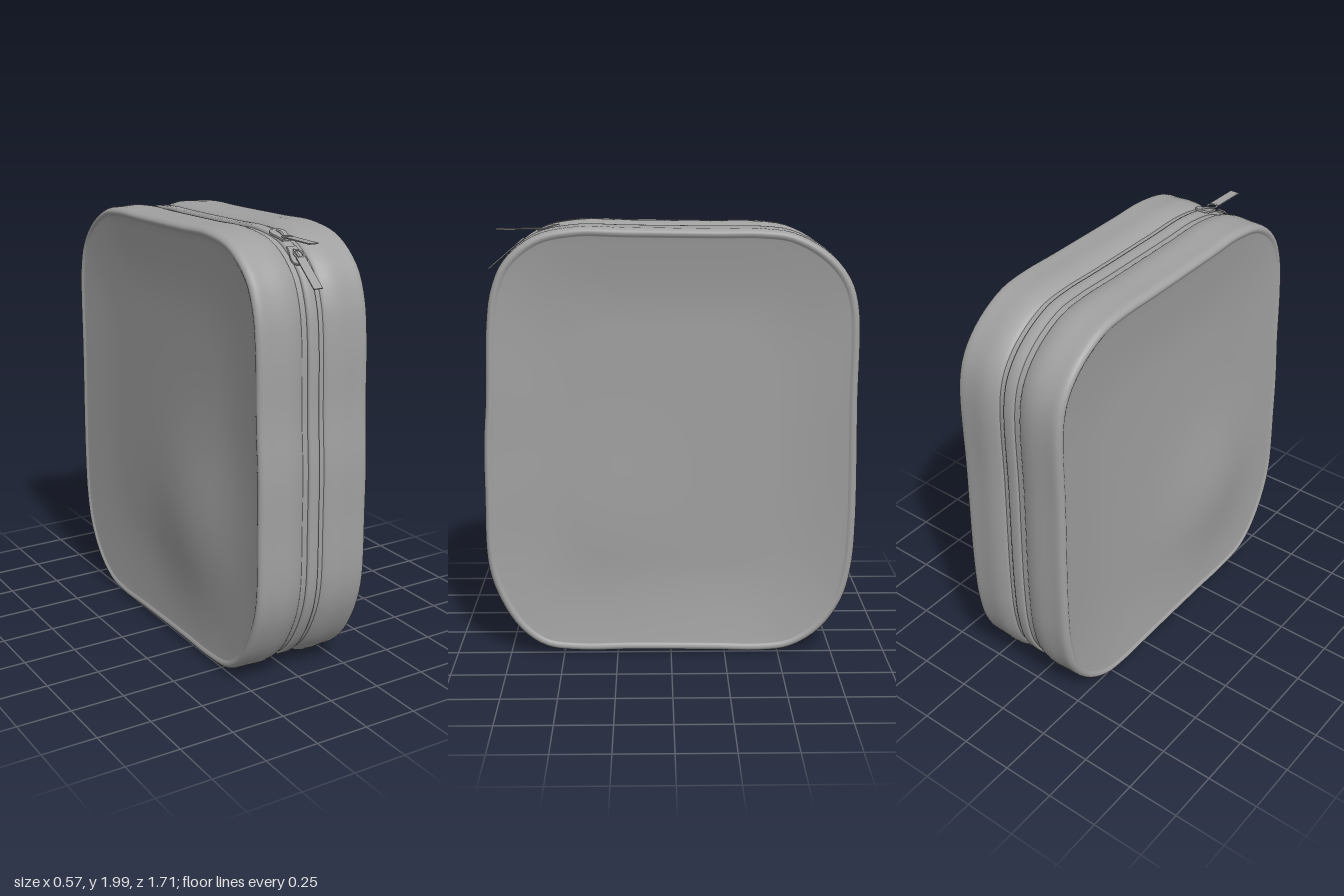
import * as THREE from 'three';

const material = new THREE.MeshStandardMaterial({ color: 0xa0a0a0, side: THREE.DoubleSide });
const N = 160;

// Soft, slightly uneven rounded outline of the case in (z, y)
const outline = new THREE.CatmullRomCurve3([
  [0.855, 0.8], [0.85, 0.45], [0.805, 0.29], [0.71, 0.13], [0.59, 0.04], [0.42, 0.016],
  [0.2, 0.018], [-0.2, 0.014], [-0.42, 0.01], [-0.56, 0.03], [-0.7, 0.12], [-0.8, 0.27],
  [-0.84, 0.43], [-0.853, 0.65], [-0.845, 1.2], [-0.835, 1.65], [-0.79, 1.78], [-0.69, 1.89],
  [-0.54, 1.97], [-0.4, 1.989], [-0.2, 1.99], [0.2, 1.995], [0.42, 1.998], [0.6, 1.96],
  [0.74, 1.85], [0.8, 1.72], [0.825, 1.55], [0.836, 1.25], [0.852, 1.02],
].map(([z, y]) => new THREE.Vector3(0, y, z)), true, 'centripetal');

const samples = Array.from({ length: N }, (_, i) => {
  const p = outline.getPointAt(i / N), t = outline.getTangentAt(i / N);
  return { y: p.y, z: p.z, ny: t.z, nz: -t.y };
});

// Outline pulled inwards by a distance and placed at x
const ring = (x, inset) => samples.map((s) => [x, s.y - s.ny * inset, s.z - s.nz * inset]);

// Skin over closed rings, ordered towards +x (or mirrored with flip)
function loft(name, rings, flip = false) {
  const index = [];
  for (let j = 0; j < rings.length - 1; j++) {
    for (let i = 0; i < N; i++) {
      const k = (i + 1) % N;
      const a = j * N + i, b = j * N + k, c = a + N, d = b + N;
      if (flip) index.push(a, c, b, b, c, d);
      else index.push(a, b, c, b, d, c);
    }
  }
  const geometry = new THREE.BufferGeometry();
  geometry.setAttribute('position', new THREE.Float32BufferAttribute(rings.flat(2), 3));
  geometry.setIndex(index);
  geometry.computeVertexNormals();
  const mesh = new THREE.Mesh(geometry, material);
  mesh.name = name;
  return mesh;
}

// Side wall from the zipper groove round the rim: (x, inset)
const wallProfile = new THREE.SplineCurve([
  [0.05, 0.03], [0.06, 0.019], [0.078, 0.011], [0.105, 0.004], [0.14, 0.001], [0.2, 0.004],
  [0.245, 0.005], [0.264, 0.011], [0.274, 0.022], [0.274, 0.034], [0.267, 0.046],
].map(([x, d]) => new THREE.Vector2(x, d))).getPoints(40);

// One half: wall, rolled rim and dished panel in a single smooth skin
function halfCase(side) {
  const rings = wallProfile.map((p) => ring(side * p.x, p.y));
  const edge = ring(0, 0.046);
  for (let j = 1; j <= 30; j++) {
    const s = Math.max(1 - j / 30, 0.001);
    const inward = 1 - s;
    const sag = (side > 0 ? 0.042 : 0.026) * Math.sin(Math.min(inward / 0.42, 1) * Math.PI / 2);
    rings.push(edge.map(([, y, z]) => {
      const py = 1 + (y - 1) * s, pz = z * s;
      // Soft swelling low at the front, stronger on the right side
      const swell = (side > 0 ? 0.014 : 0.052) * (1 - s ** 6)
        * Math.exp(-(((py - 0.62) / 0.4) ** 2) - ((pz - 0.3) / 0.36) ** 2);
      return [side * (0.267 - sag + swell), py, pz];
    }));
  }
  return loft(side > 0 ? 'leftShell' : 'rightShell', rings, side < 0);
}

function box(name, w, h, d, x, y, z) {
  const mesh = new THREE.Mesh(new THREE.BoxGeometry(w, h, d), material);
  mesh.name = name;
  mesh.position.set(x, y, z);
  return mesh;
}

// Zipper slider: local z runs along the zipper, local y points outwards
function slider(name, y, z, tilt, facing) {
  const group = new THREE.Group();
  group.name = name;
  group.position.set(0, y, z);
  group.rotation.x = tilt;

  const plan = new THREE.Shape();
  plan.moveTo(-0.022, -0.05);
  plan.bezierCurveTo(-0.024, -0.01, -0.038, 0, -0.036, 0.03);
  plan.bezierCurveTo(-0.03, 0.055, 0.03, 0.055, 0.036, 0.03);
  plan.bezierCurveTo(0.038, 0, 0.024, -0.01, 0.022, -0.05);
  plan.closePath();
  const plate = new THREE.Mesh(new THREE.ExtrudeGeometry(plan, {
    depth: 0.006, bevelThickness: 0.002, bevelSize: 0.002, bevelSegments: 2, curveSegments: 8,
  }), material);
  plate.name = 'sliderBody';
  plate.rotation.x = facing * Math.PI / 2;
  plate.position.y = facing > 0 ? 0.006 : 0;
  group.add(plate);

  const bridge = new THREE.Mesh(new THREE.TubeGeometry(new THREE.CatmullRomCurve3(
    [[0.003, -0.035], [0.011, -0.022], [0.012, 0.012], [0.003, 0.028]].map(([h, d]) => new THREE.Vector3(0, h, d)),
  ), 12, 0.005, 6), material);
  bridge.name = 'sliderBridge';
  group.add(bridge);
  return group;
}

// Flat pull tab hanging from a ring, running along local +z
function pullTab(name, y, z, tilt, length) {
  const group = new THREE.Group();
  group.name = name;
  group.position.set(0, y, z);
  group.rotation.x = tilt;
  const loop = new THREE.Mesh(new THREE.TorusGeometry(0.021, 0.004, 8, 20), material);
  loop.name = 'pullRing';
  loop.rotation.x = Math.PI / 2;
  loop.position.z = 0.012;
  group.add(loop);
  group.add(box('pullTab', 0.044, 0.005, length, 0, 0, 0.03 + length / 2));
  return group;
}

export function createModel() {
  const model = new THREE.Group();
  model.name = 'zipCase';
  model.add(halfCase(1), halfCase(-1));

  // Zipper tape at the bottom of the groove and the raised tooth strip
  model.add(loft('zipperTape', [-0.056, -0.03, 0, 0.03, 0.056].map((x) => ring(x, 0.025))));
  model.add(loft('zipperTeeth', [
    [-0.027, 0.027], [-0.026, 0.017], [-0.018, 0.013], [0, 0.012],
    [0.018, 0.013], [0.026, 0.017], [0.027, 0.027],
  ].map(([x, d]) => ring(x, d))));

  // Two sliders meeting at the upper front corner
  model.add(slider('upperSlider', 1.965, 0.55, 0.3, -1));
  model.add(slider('lowerSlider', 1.895, 0.67, 0.66, 1));
  model.add(pullTab('upperPull', 1.966, 0.59, 0.01, 0.17));
  model.add(pullTab('lowerPull', 1.916, 0.675, 0.7, 0.17));
  return model;
}
